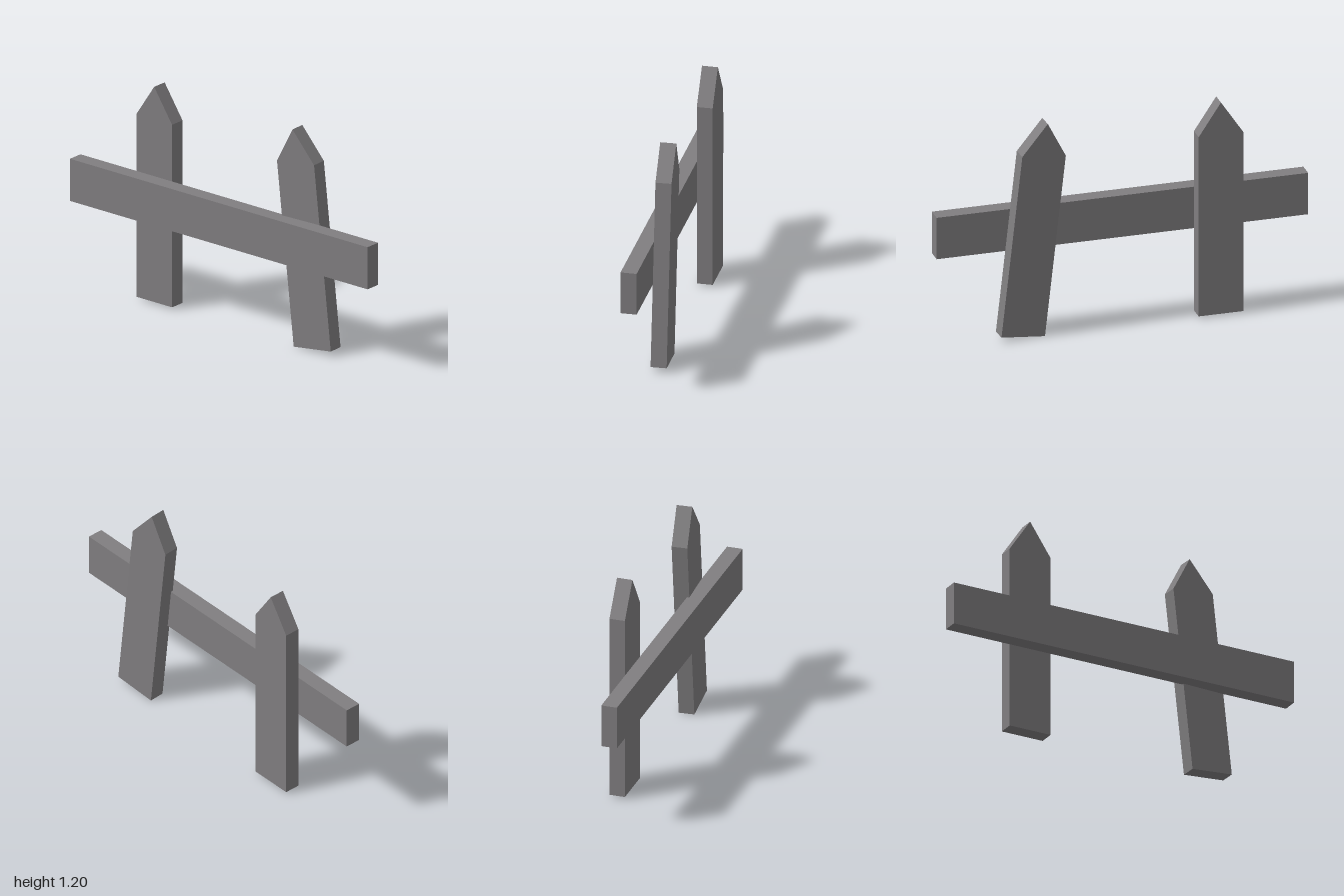
import * as THREE from 'three';

const WIDTH = 0.24, DEPTH = 0.084, SHOULDER = 1.005, TIP = 1.185;

// Pointed board standing on its local origin, centred in depth
function makePicket(name, material) {
  const shape = new THREE.Shape([
    new THREE.Vector2(-WIDTH / 2, 0),
    new THREE.Vector2(WIDTH / 2, 0),
    new THREE.Vector2(WIDTH / 2, SHOULDER),
    new THREE.Vector2(0, TIP),
    new THREE.Vector2(-WIDTH / 2, SHOULDER),
  ]);
  const geometry = new THREE.ExtrudeGeometry(shape, { depth: DEPTH, bevelEnabled: false });
  geometry.translate(0, 0, -DEPTH / 2);
  const picket = new THREE.Mesh(geometry, material);
  picket.name = name;
  return picket;
}

export function createModel() {
  const group = new THREE.Group();
  group.name = 'brokenFence';

  const wood = new THREE.MeshStandardMaterial({ color: 0x807e80 });
  wood.name = 'weathered grey wood';

  // Horizontal rail in front of the pickets
  const rail = new THREE.Mesh(new THREE.BoxGeometry(2, 0.232, 0.085), wood);
  rail.name = 'rail';
  rail.position.set(0, 0.592, 0.0425);

  // Upright picket
  const straightPicket = makePicket('straightPicket', wood);
  straightPicket.position.set(-0.505, 0.015, -0.042);

  // Leaning picket, twisted slightly about its own length
  const leaningPicket = makePicket('leaningPicket', wood);
  leaningPicket.position.set(0.56, 0.017, -0.036);
  leaningPicket.rotation.set(0, 0.055, 0.112, 'ZYX');

  group.add(rail, straightPicket, leaningPicket);
  return group;
}
